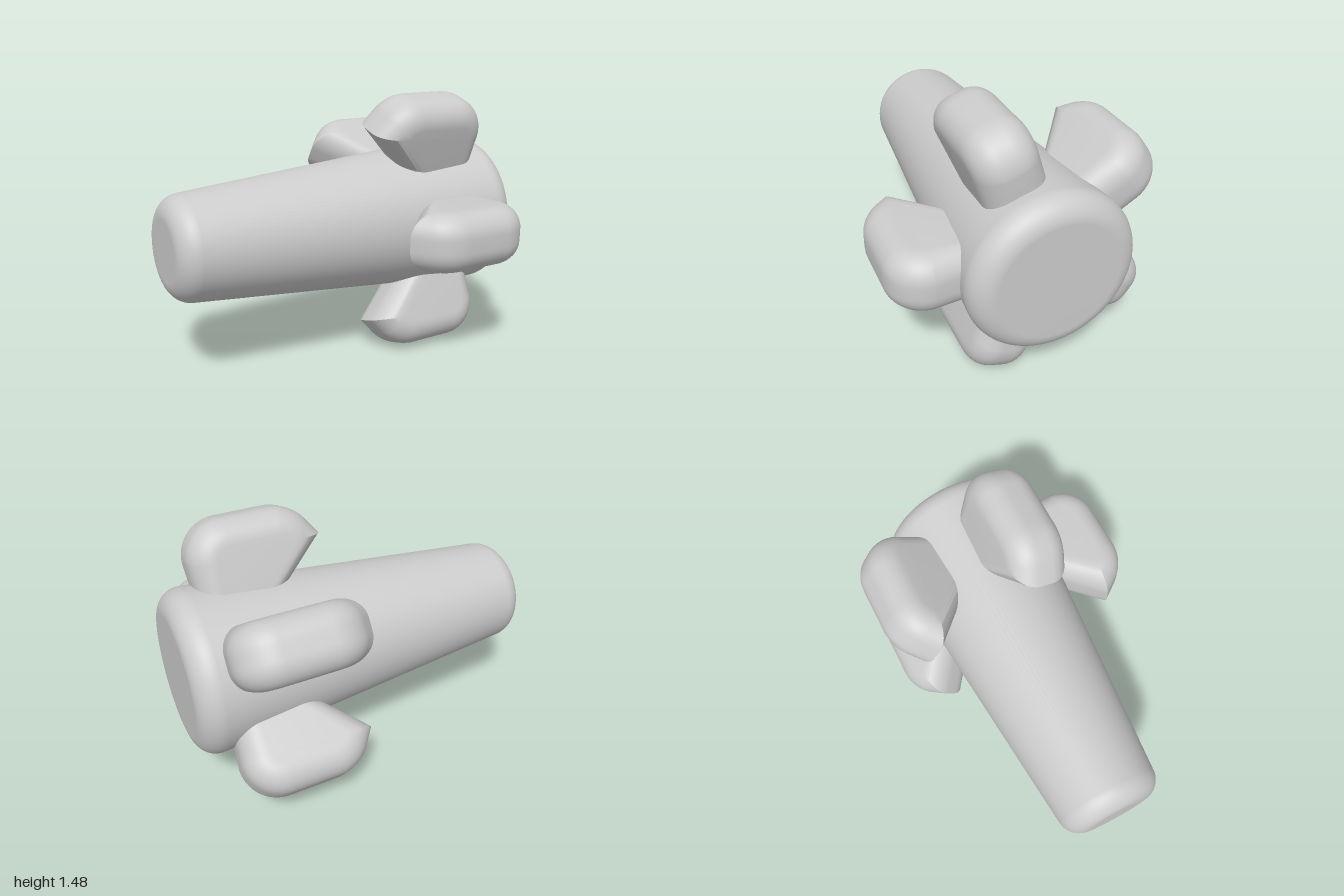
import * as THREE from 'three';
import { toCreasedNormals } from 'three/addons/utils/BufferGeometryUtils.js';

const AXIS_Y = 0.741, AXIS_Z = -0.053;
const FIN_COUNT = 5;

// Tapered body: lathe profile with both rims rounded by arcs tangent to the cone
function bodyGeometry() {
  const R = 0.12, x = 0.88, rSmall = 0.167, rBig = 0.326, steps = 12;
  const tangent = Math.PI / 2 + Math.atan((rBig - rSmall) / (2 * x));
  const points = [new THREE.Vector2(0, -1)];
  const arc = (cx, cr, from, to) => {
    for (let i = 0; i <= steps; i++) {
      const a = from + (to - from) * i / steps;
      points.push(new THREE.Vector2(cr + R * Math.sin(a), cx + R * Math.cos(a)));
    }
  };
  arc(-x, rSmall, Math.PI, tangent);
  arc(x, rBig, tangent, 0);
  points.push(new THREE.Vector2(0, 1));
  return new THREE.LatheGeometry(points, 96);
}

// Fin: swept outline (x along the body, y outward) with a large round bevel
function finGeometry() {
  const bevel = 0.13, depth = 0.07;
  const top = 0.632, rear = 0.71, slope = 1.38;
  const base = 0.1, noseX = 0.322;
  const slant = Math.atan(slope);
  const frontR = 0.11, rearR = 0.075;
  const arcX = noseX + frontR * Math.tan(slant / 2);

  const s = new THREE.Shape();
  s.moveTo(noseX - (top - base) / slope, base);
  s.absarc(arcX, top - frontR, frontR, Math.PI / 2 + slant, Math.PI / 2, true);
  s.absarc(rear - rearR, top - rearR, rearR, Math.PI / 2, 0, true);
  s.lineTo(rear, base);
  s.closePath();

  const g = new THREE.ExtrudeGeometry(s, {
    depth, bevelEnabled: true, bevelSize: bevel, bevelThickness: bevel,
    bevelSegments: 10, curveSegments: 12,
  });
  g.translate(0, 0, -depth / 2);
  return toCreasedNormals(g, 0.6);
}

export function createModel() {
  const model = new THREE.Group();
  model.name = 'finnedBody';
  const material = new THREE.MeshStandardMaterial({ color: 0xcccccc });

  const core = new THREE.Group();
  core.name = 'core';
  core.position.set(0, AXIS_Y, AXIS_Z);
  model.add(core);

  const body = new THREE.Mesh(bodyGeometry(), material);
  body.name = 'body';
  body.rotation.z = -Math.PI / 2;
  core.add(body);

  // Fins spaced evenly around the axis, the first facing forward
  const finGeo = finGeometry();
  for (let i = 0; i < FIN_COUNT; i++) {
    const fin = new THREE.Mesh(finGeo, material);
    fin.name = 'fin' + (i + 1);
    fin.rotation.x = Math.PI / 2 + i * 2 * Math.PI / FIN_COUNT;
    core.add(fin);
  }
  return model;
}
